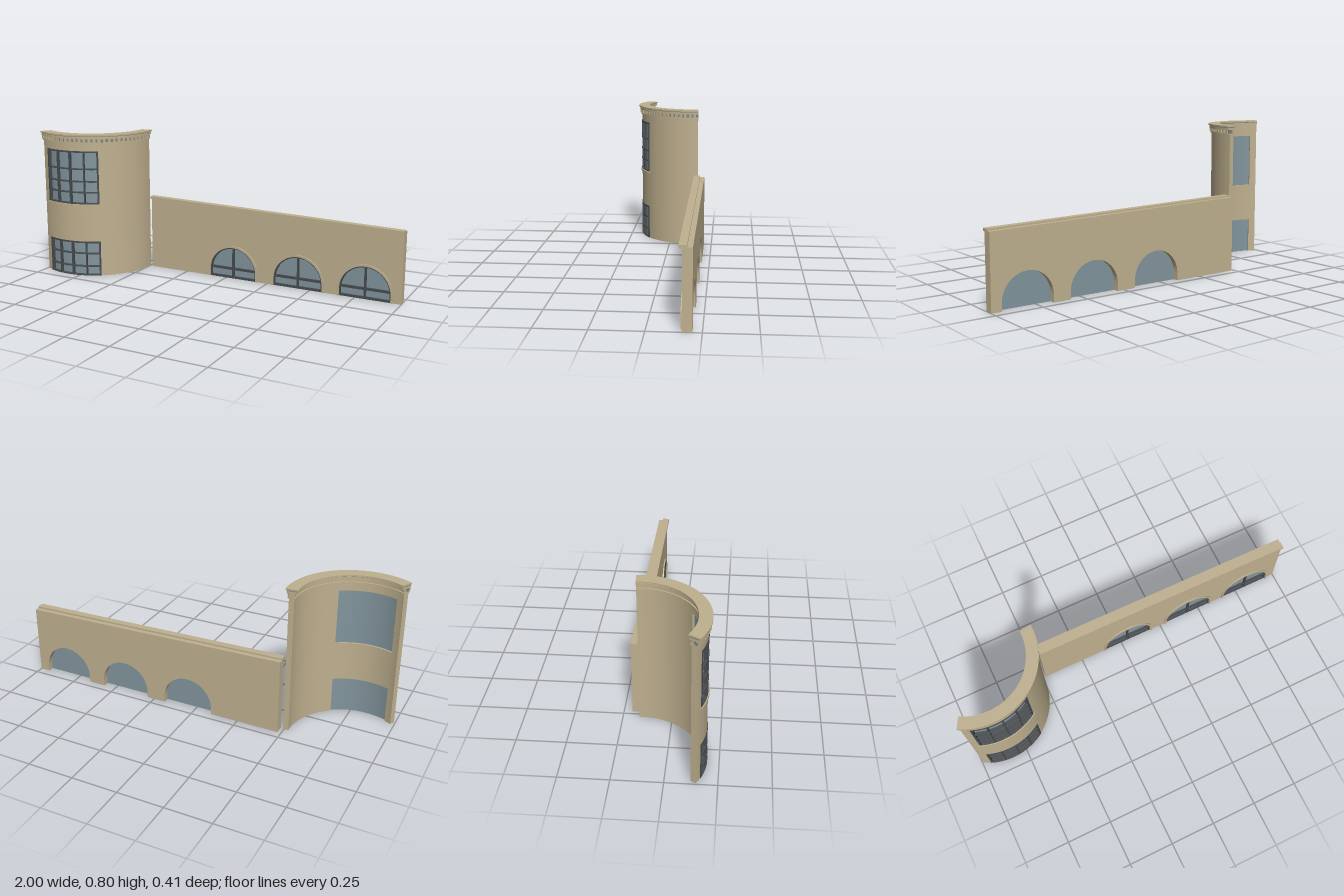
import * as THREE from 'three';
import { toCreasedNormals } from 'three/addons/utils/BufferGeometryUtils.js';

const material = (name, color) => {
  const m = new THREE.MeshStandardMaterial({ color });
  m.name = name;
  return m;
};

export function createModel() {
  const stone = material('sandstone', 0xbfb08f);
  const glassMat = material('blueGreyGlass', 0x82959d);
  const frameMat = material('darkFrame', 0x474c4e);
  const recessMat = material('greyRecess', 0x7c8283);

  const model = new THREE.Group();
  model.name = 'facade';
  const add = (parent, name, geometry, mat) => {
    const mesh = new THREE.Mesh(geometry, mat);
    mesh.name = name;
    parent.add(mesh);
    return mesh;
  };
  const group = (name) => {
    const g = new THREE.Group();
    g.name = name;
    model.add(g);
    return g;
  };
  const extrude = (shape, depth, segments = 24) =>
    new THREE.ExtrudeGeometry(shape, { depth, bevelEnabled: false, curveSegments: segments });

  // ---------- Curved tower ----------
  const tower = group('tower');
  tower.position.set(-0.83, 0, -0.145);
  const deg = Math.PI / 180;
  const A0 = -29.2, A1 = 93.8; // tower sweep, degrees from +z towards +x
  const W0 = -21.9, W1 = 34.6; // window sweep

  // Solid ring sector between two radii, heights and angles
  const arc = (name, mat, r0, r1, y0, y1, a0 = A0, a1 = A1) => {
    const s = a0 * deg - Math.PI / 2, e = a1 * deg - Math.PI / 2;
    const shape = new THREE.Shape();
    shape.absarc(0, 0, r1, s, e, false);
    shape.absarc(0, 0, r0, e, s, true);
    shape.closePath();
    const g = extrude(shape, y1 - y0, Math.max(1, Math.ceil((a1 - a0) / 3)));
    g.rotateX(-Math.PI / 2).translate(0, y0, 0);
    return add(tower, name, toCreasedNormals(g, 0.5), mat);
  };

  // Wall around the two window openings
  const RI = 0.307, RO = 0.335;
  arc('towerWallLeftPier', stone, RI, RO, 0, 0.78, A0, W0);
  arc('towerWallRight', stone, RI, RO, 0, 0.78, W1, A1);
  arc('towerWallBetweenWindows', stone, RI, RO, 0.197, 0.41, W0, W1);
  arc('towerWallAboveWindows', stone, RI, RO, 0.708, 0.78, W0, W1);
  arc('windowSill', stone, 0.31, 0.343, 0.4, 0.41, W0 - 0.8, W1 + 1);

  // Curved windows: glass, outer frame, mullions and glazing bars
  const towerWindow = (name, y0, y1, rows) => {
    arc(name + 'Glass', glassMat, 0.316, 0.32, y0, y1, W0, W1);
    for (let i = 0; i <= 4; i++) {
      const edge = i === 0 || i === 4;
      const half = edge ? 0.9 : i === 2 ? 0.85 : 0.6;
      let a = W0 + ((W1 - W0) * i) / 4;
      if (i === 0) a += half;
      if (i === 4) a -= half;
      arc(name + 'Mullion', frameMat, 0.319, 0.337, y0, y1, a - half, a + half);
    }
    for (const y of rows) arc(name + 'Bar', frameMat, 0.319, 0.338, y - 0.003, y + 0.003, W0, W1);
    arc(name + 'Head', frameMat, 0.319, 0.338, y1 - 0.009, y1, W0, W1);
  };
  towerWindow('upperWindow', 0.41, 0.708, [0.414, 0.476, 0.537, 0.607]);
  towerWindow('lowerWindow', 0, 0.197, [0.003, 0.053, 0.127]);

  // Cornice bands, stepping out on both faces of the wall
  arc('corniceLowerBand', stone, 0.3, 0.342, 0.75, 0.758);
  arc('dentilRecess', recessMat, 0.315, 0.338, 0.758, 0.777);
  arc('corniceMiddleBand', stone, 0.295, 0.348, 0.776, 0.788);
  arc('corniceShadowGap', recessMat, 0.297, 0.346, 0.788, 0.792);
  arc('corniceTop', stone, 0.29, 0.353, 0.792, 0.8);
  const dentils = 27, pitch = (A1 - A0) / dentils;
  for (let i = 0; i < dentils; i++) {
    const a = A0 + pitch * i;
    arc('dentil', stone, 0.33, 0.347, 0.758, 0.777, a, a + pitch * 0.55);
  }

  // ---------- Long wall with arched windows ----------
  const wing = group('longWall');
  const R = 0.14, SPRING = 0.037;
  const centres = [0.043, 0.43, 0.805];

  // Sloping wall outline with arched openings cut up from the ground
  const outline = new THREE.Shape();
  outline.moveTo(-0.48, 0);
  for (const x of centres) {
    outline.lineTo(x - R, 0);
    outline.lineTo(x - R, SPRING);
    outline.absarc(x, SPRING, R, Math.PI, 0, true);
    outline.lineTo(x + R, 0);
  }
  outline.lineTo(1, 0);
  outline.lineTo(1, 0.38);
  outline.lineTo(-0.48, 0.412);
  outline.closePath();
  const wall = extrude(outline, 0.047).translate(0, 0, -0.207);
  add(wing, 'wallPanel', toCreasedNormals(wall, 0.5), stone);

  // Sloping coping along the front of the wall top
  const coping = new THREE.Shape([
    [-0.48, 0.404], [1, 0.375], [1, 0.39], [-0.48, 0.42],
  ].map(([x, y]) => new THREE.Vector2(x, y)));
  add(wing, 'coping', extrude(coping, 0.037).translate(0, 0, -0.182), stone);

  // Arched band standing on the ground; a zero inner radius gives a solid arch
  const arch = (outer, inner) => {
    const s = new THREE.Shape();
    s.moveTo(outer, 0);
    s.lineTo(outer, SPRING);
    s.absarc(0, SPRING, outer, 0, Math.PI, false);
    s.lineTo(-outer, 0);
    if (inner > 0) {
      s.lineTo(-inner, 0);
      s.lineTo(-inner, SPRING);
      s.absarc(0, SPRING, inner, Math.PI, 0, true);
      s.lineTo(inner, 0);
    }
    s.closePath();
    return s;
  };
  const archPart = (parent, name, mat, outer, inner, z0, z1) =>
    add(parent, name, toCreasedNormals(extrude(arch(outer, inner), z1 - z0).translate(0, 0, z0), 0.5), mat);
  const bar = (parent, name, w, h, y) =>
    add(parent, name, new THREE.BoxGeometry(w, h, 0.011), frameMat).position.set(0, y, -0.1665);

  for (const x of centres) {
    const w = new THREE.Group();
    w.name = 'archedWindow';
    w.position.x = x;
    wing.add(w);
    archPart(w, 'archTrim', stone, 0.151, R, -0.161, -0.153);
    archPart(w, 'archFrame', frameMat, R, 0.133, -0.172, -0.161);
    archPart(w, 'archGlass', glassMat, R, 0, -0.176, -0.172);
    bar(w, 'bottomRail', 0.27, 0.012, 0.006);
    bar(w, 'transom', 0.27, 0.013, 0.055);
    const top = SPRING + 0.135;
    bar(w, 'centreMullion', 0.011, top, top / 2);
  }
  return model;
}
